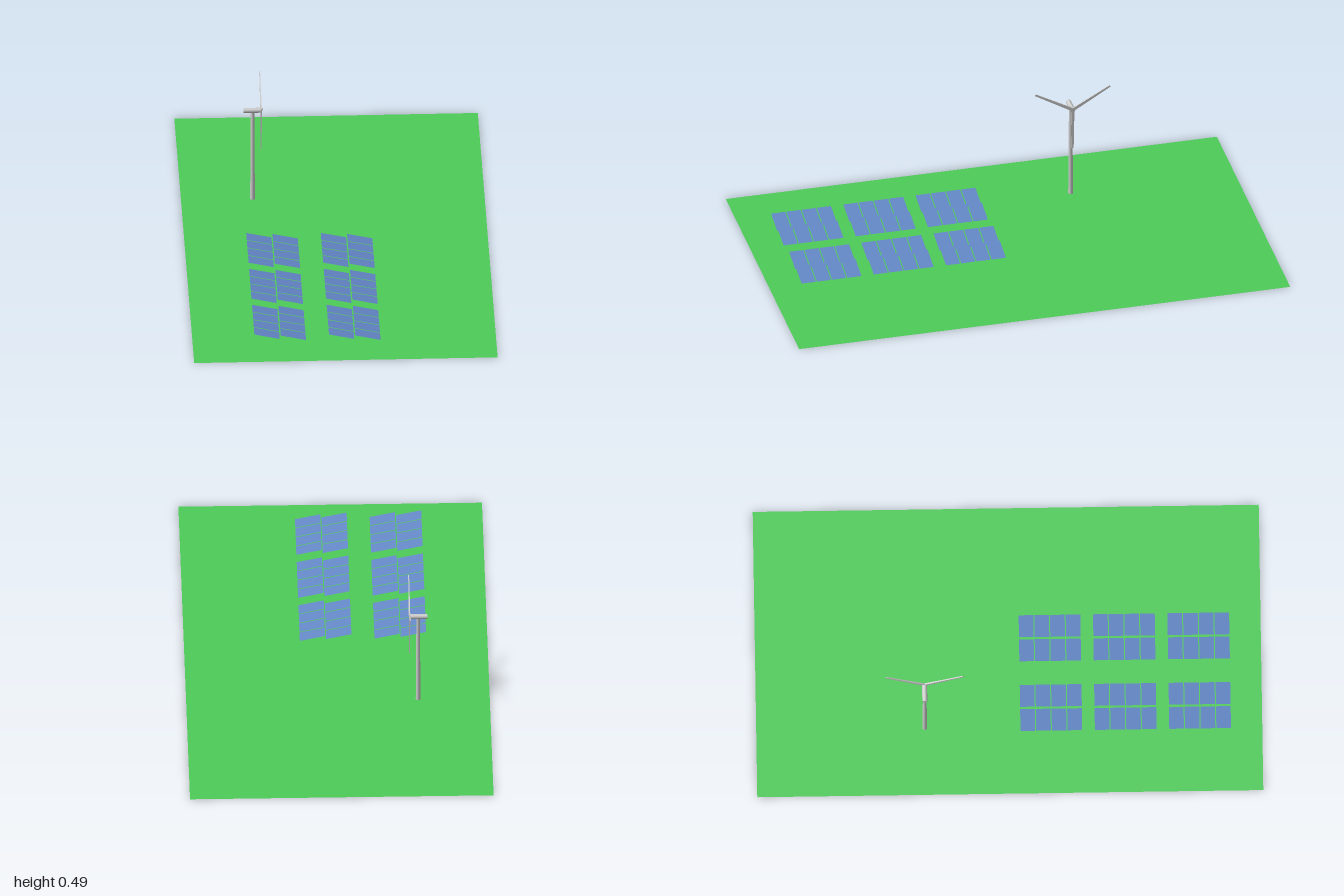
import * as THREE from 'three';

const material = (color, side = THREE.FrontSide) => new THREE.MeshStandardMaterial({ color, side });

function addMesh(parent, name, geometry, mat, x = 0, y = 0, z = 0) {
  const mesh = new THREE.Mesh(geometry, mat);
  mesh.name = name;
  mesh.position.set(x, y, z);
  parent.add(mesh);
  return mesh;
}

// Flat tapered blade, root at the origin, pointing down -y and facing x
function bladeGeometry(length, rootWidth, tipWidth, thickness) {
  const geometry = new THREE.BoxGeometry(thickness, length, 1).translate(0, -length / 2, 0);
  const p = geometry.attributes.position;
  for (let i = 0; i < p.count; i++) {
    const t = -p.getY(i) / length;
    p.setZ(i, p.getZ(i) * THREE.MathUtils.lerp(rootWidth, tipWidth, t));
    p.setX(i, p.getX(i) * (1 - 0.4 * t));
  }
  geometry.computeVertexNormals();
  return geometry;
}

function createTurbine() {
  const turbine = new THREE.Group();
  turbine.name = 'windTurbine';
  const grey = material(0xcccccc);

  addMesh(turbine, 'tower', new THREE.CylinderGeometry(0.007, 0.0095, 0.392, 24), grey, 0, 0.196, 0);
  const nacelle = new THREE.CylinderGeometry(0.01, 0.01, 0.072, 24).rotateZ(Math.PI / 2);
  addMesh(turbine, 'nacelle', nacelle, grey, 0, 0.399, 0);

  // Three blades turning about the x axis
  const rotor = new THREE.Group();
  rotor.name = 'rotor';
  rotor.position.set(0.034, 0.402, 0);
  const blade = bladeGeometry(0.176, 0.013, 0.007, 0.006);
  for (let i = 0; i < 3; i++) {
    addMesh(rotor, 'blade', blade, grey).rotation.x = (i * Math.PI * 2) / 3;
  }
  turbine.add(rotor);
  return turbine;
}

function createSolarField() {
  const field = new THREE.Group();
  field.name = 'solarField';
  const blue = material(0x6488c8, THREE.DoubleSide);
  const tilt = Math.atan2(0.022, 0.1);
  const panel = new THREE.PlaneGeometry(0.1025, 0.058).rotateX(-Math.PI / 2).rotateZ(-tilt);

  // Centre x and y of each column of panels, stepping down towards +x
  const columns = [[-0.307, 0.044], [-0.203, 0.037], [-0.012, 0.038], [0.092, 0.031]];
  for (const [x, y] of columns) {
    for (let block = 0; block < 3; block++) {
      for (let row = 0; row < 4; row++) {
        addMesh(field, 'solarPanel', panel, blue, x, y, 0.073 + block * 0.294 + row * 0.062);
      }
    }
  }
  return field;
}

export function createModel() {
  const model = new THREE.Group();
  model.name = 'renewableEnergySite';

  // Flat ground sheet
  const ground = new THREE.PlaneGeometry(1.2, 2).rotateX(-Math.PI / 2);
  addMesh(model, 'ground', ground, material(0x4ccb58, THREE.DoubleSide));

  const turbine = createTurbine();
  turbine.position.set(-0.317, 0, -0.334);
  model.add(turbine, createSolarField());
  return model;
}
